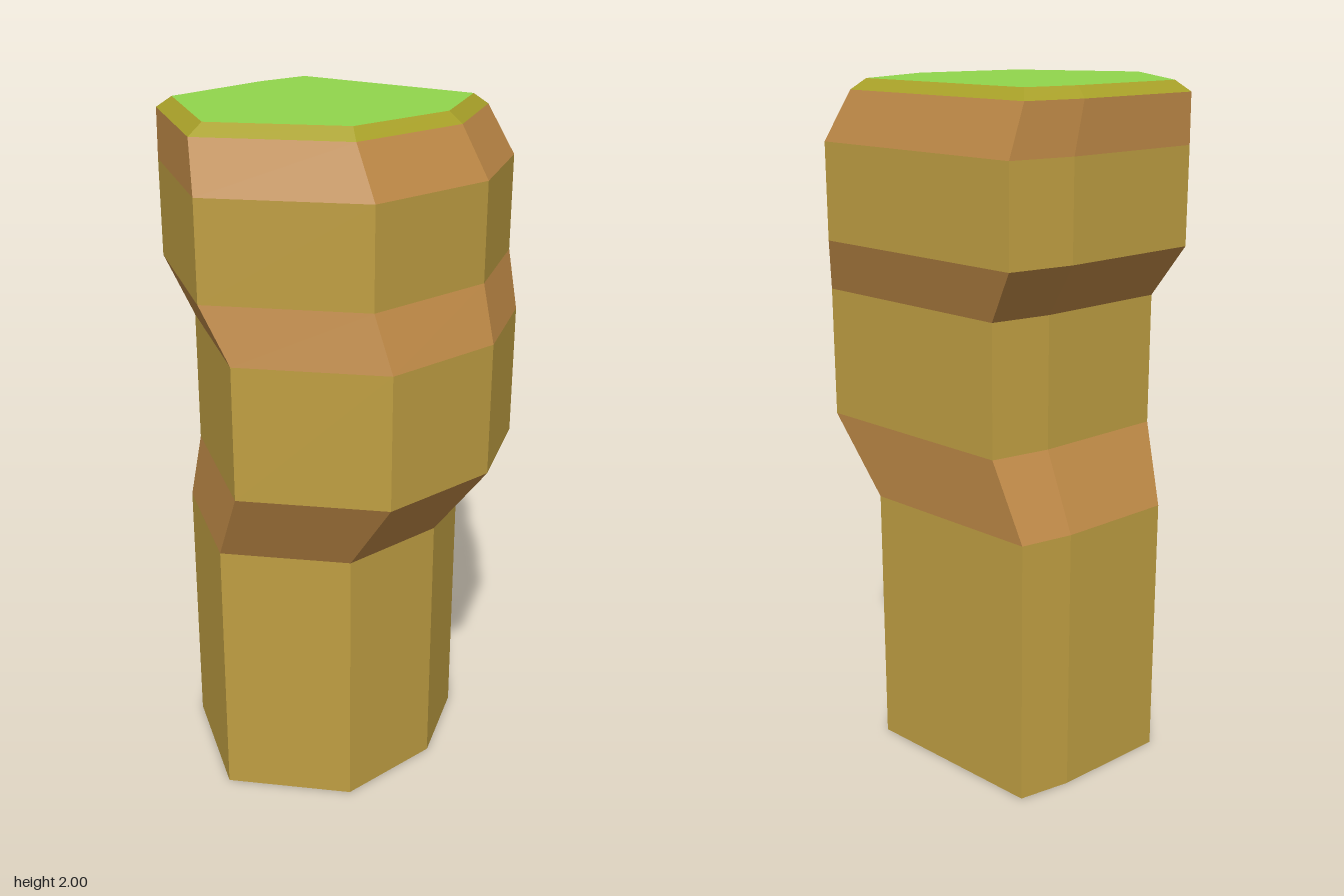
import * as THREE from 'three';

// Seven-sided cross-section as (x, z), running back -> left -> front -> right
const SECTION = [
  [-0.1, -0.505], [0.485, -0.145], [0.39, 0.2], [0.1, 0.47],
  [-0.35, 0.415], [-0.51, -0.05], [-0.243, -0.379],
];

// Each ring is the section scaled and shifted: height, scale, x shift, z shift
const RINGS = [
  [0, 0.825, -0.042, -0.02],
  [0.79, 0.825, -0.042, -0.02],
  [1.02, 0.927, 0.057, 0.066],
  [1.4, 0.927, 0.057, 0.066],
  [1.555, 1, 0, 0],
  [1.83, 1, 0, 0],
  [1.97, 0.92, -0.04, -0.011],
  [2, 0.832, -0.04, -0.013],
].map(([y, s, dx, dz]) => SECTION.map(([x, z]) => [x * s + dx, y, z * s + dz]));

const rock = 0xc09f42, clay = 0xc28c48, moss = 0xa8a028, grass = 0x92d64c, grey = 0xcccccc;

// Bands between neighbouring rings, from the bottom up
const BANDS = [
  ['lowerColumn', rock], ['lowerLedge', clay], ['middleColumn', rock], ['upperLedge', clay],
  ['upperColumn', rock], ['shoulder', clay], ['grassEdge', moss],
];

function facetedMesh(name, color, corners) {
  const geometry = new THREE.BufferGeometry();
  geometry.setAttribute('position', new THREE.Float32BufferAttribute(corners.flat(), 3));
  geometry.computeVertexNormals();
  const mesh = new THREE.Mesh(geometry, new THREE.MeshStandardMaterial({ color, flatShading: true }));
  mesh.name = name;
  return mesh;
}

function band(name, color, low, high) {
  const corners = [];
  low.forEach((a, i) => {
    const j = (i + 1) % low.length;
    corners.push(low[j], a, high[i], low[j], high[i], high[j]);
  });
  return facetedMesh(name, color, corners);
}

function cap(name, color, ring, up) {
  const corners = [];
  for (let i = 1; i < ring.length - 1; i++) {
    corners.push(ring[0], ...(up ? [ring[i + 1], ring[i]] : [ring[i], ring[i + 1]]));
  }
  return facetedMesh(name, color, corners);
}

export function createModel() {
  const group = new THREE.Group();
  group.name = 'rockPillar';
  BANDS.forEach(([name, color], i) => group.add(band(name, color, RINGS[i], RINGS[i + 1])));
  group.add(cap('grassTop', grass, RINGS[RINGS.length - 1], true));
  group.add(cap('underside', grey, RINGS[0], false));
  return group;
}
